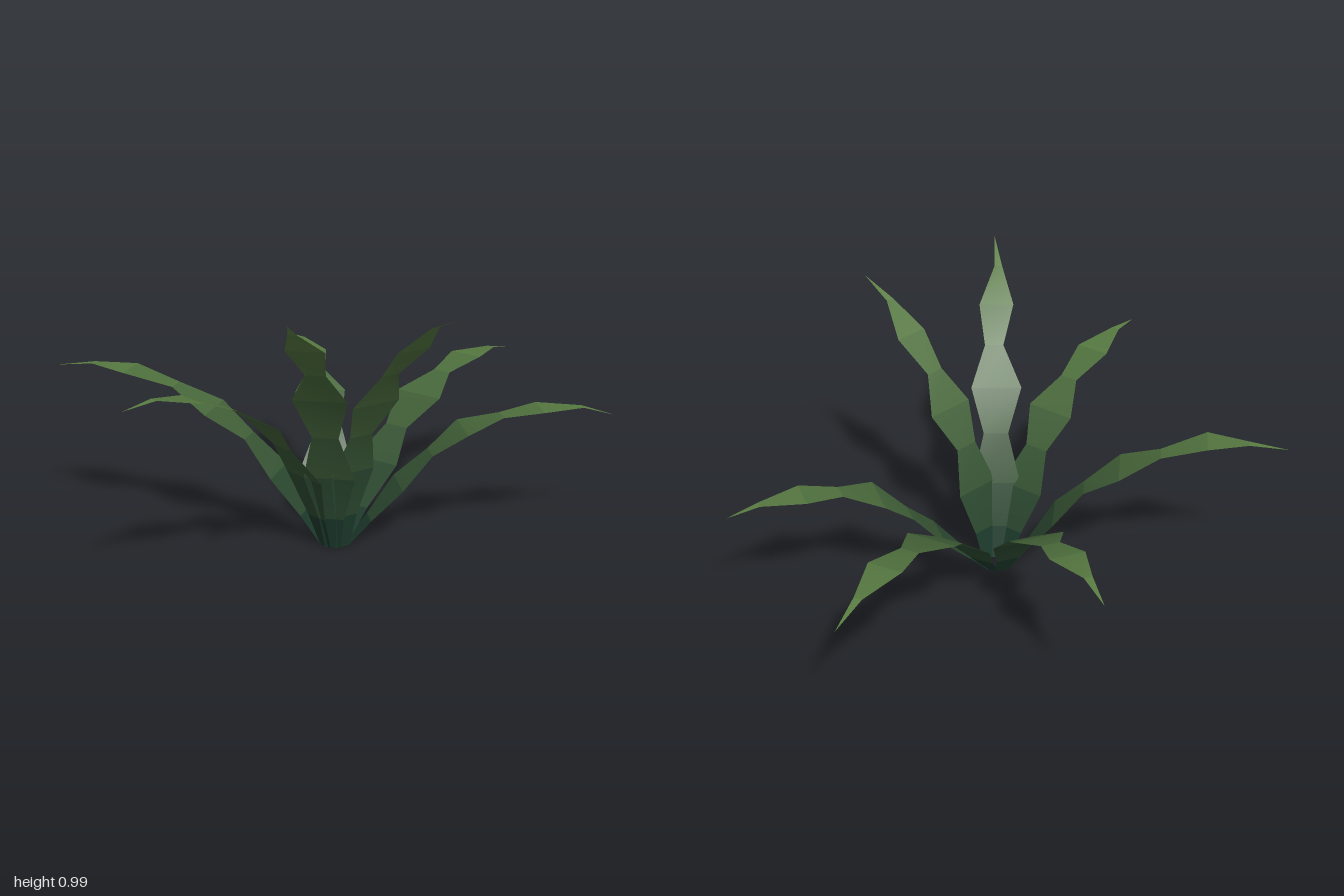
import * as THREE from 'three';

// Shared half-widths along a leaf, root to tip: alternating bulges and waists
const HALF = [0.028, 0.043, 0.088, 0.045, 0.092, 0.034, 0.063, 0.015, 0];
const CROWN = new THREE.Vector3(0.12, 0, 0.11);
const CROWN_RADIUS = 0.045;

// Centreline of each leaf [x, y, z], from first bulge to tip
const LEAVES = {
  backLeaf: [[0.085, 0.23, -0.135], [0.075, 0.33, -0.25], [0.06, 0.415, -0.385], [0.04, 0.465, -0.535], [0.025, 0.495, -0.69], [0.005, 0.485, -0.86], [-0.01, 0.45, -1]],
  backLeftLeaf: [[0.24, 0.2, -0.08], [0.31, 0.31, -0.165], [0.39, 0.4, -0.24], [0.475, 0.44, -0.345], [0.555, 0.46, -0.455], [0.645, 0.455, -0.58], [0.72, 0.42, -0.67]],
  leftLeaf: [[0.22, 0.29, 0.13], [0.28, 0.44, 0.15], [0.355, 0.57, 0.16], [0.435, 0.69, 0.18], [0.55, 0.8, 0.2], [0.66, 0.9, 0.225], [0.79, 0.955, 0.25]],
  frontLeftLeaf: [[0.19, 0.28, 0.21], [0.23, 0.45, 0.27], [0.27, 0.6, 0.335], [0.335, 0.72, 0.42], [0.39, 0.83, 0.52], [0.46, 0.92, 0.64], [0.545, 0.985, 0.745]],
  frontLeaf: [[0.1, 0.27, 0.24], [0.095, 0.4, 0.335], [0.095, 0.51, 0.43], [0.095, 0.59, 0.56], [0.08, 0.65, 0.705], [0.065, 0.68, 0.85], [0.06, 0.668, 0.975]],
  frontRightLeaf: [[-0.065, 0.24, 0.2], [-0.16, 0.36, 0.25], [-0.27, 0.45, 0.31], [-0.4, 0.52, 0.37], [-0.535, 0.57, 0.46], [-0.67, 0.575, 0.517], [-0.795, 0.555, 0.585]],
  backRightLeaf: [[-0.04, 0.22, -0.01], [-0.115, 0.32, -0.1], [-0.23, 0.41, -0.17], [-0.32, 0.455, -0.24], [-0.43, 0.495, -0.315], [-0.555, 0.505, -0.395], [-0.66, 0.48, -0.47]],
};

// Dark at the root, lighter towards the tip
const segments = HALF.length - 1;
const materials = Array.from({ length: segments }, (_, i) => new THREE.MeshStandardMaterial({
  color: new THREE.Color(0x1c3a2c).lerp(new THREE.Color(0x5a7d42), i / (segments - 1)),
  side: THREE.DoubleSide,
}));

// A flat ribbon whose cross-sections are level and square to the leaf's heading
function leafGeometry(points) {
  const outer = points.map((p) => new THREE.Vector3(...p));
  const heading = outer[outer.length - 1].clone().sub(CROWN).setY(0).normalize();
  const side = new THREE.Vector3(-heading.z, 0, heading.x);
  const root = CROWN.clone().addScaledVector(heading, CROWN_RADIUS);
  const stem = root.clone().lerp(outer[0], 0.42);
  const rows = [root, stem, ...outer];

  const positions = [];
  rows.forEach((c, i) => {
    for (const s of [-1, 1]) positions.push(...c.clone().addScaledVector(side, s * HALF[i]).toArray());
  });

  const geometry = new THREE.BufferGeometry();
  const index = [];
  for (let i = 0; i < segments; i++) {
    const a = i * 2;
    const start = index.length;
    index.push(a, a + 1, a + 3);
    if (i < segments - 1) index.push(a, a + 3, a + 2);
    geometry.addGroup(start, index.length - start, i);
  }
  // Both corners of the tip coincide, so one triangle closes it
  geometry.setAttribute('position', new THREE.Float32BufferAttribute(positions, 3));
  geometry.setIndex(index);
  geometry.computeVertexNormals();
  return geometry;
}

export function createModel() {
  const plant = new THREE.Group();
  plant.name = 'plant';
  for (const [name, points] of Object.entries(LEAVES)) {
    const leaf = new THREE.Mesh(leafGeometry(points), materials);
    leaf.name = name;
    plant.add(leaf);
  }
  return plant;
}
